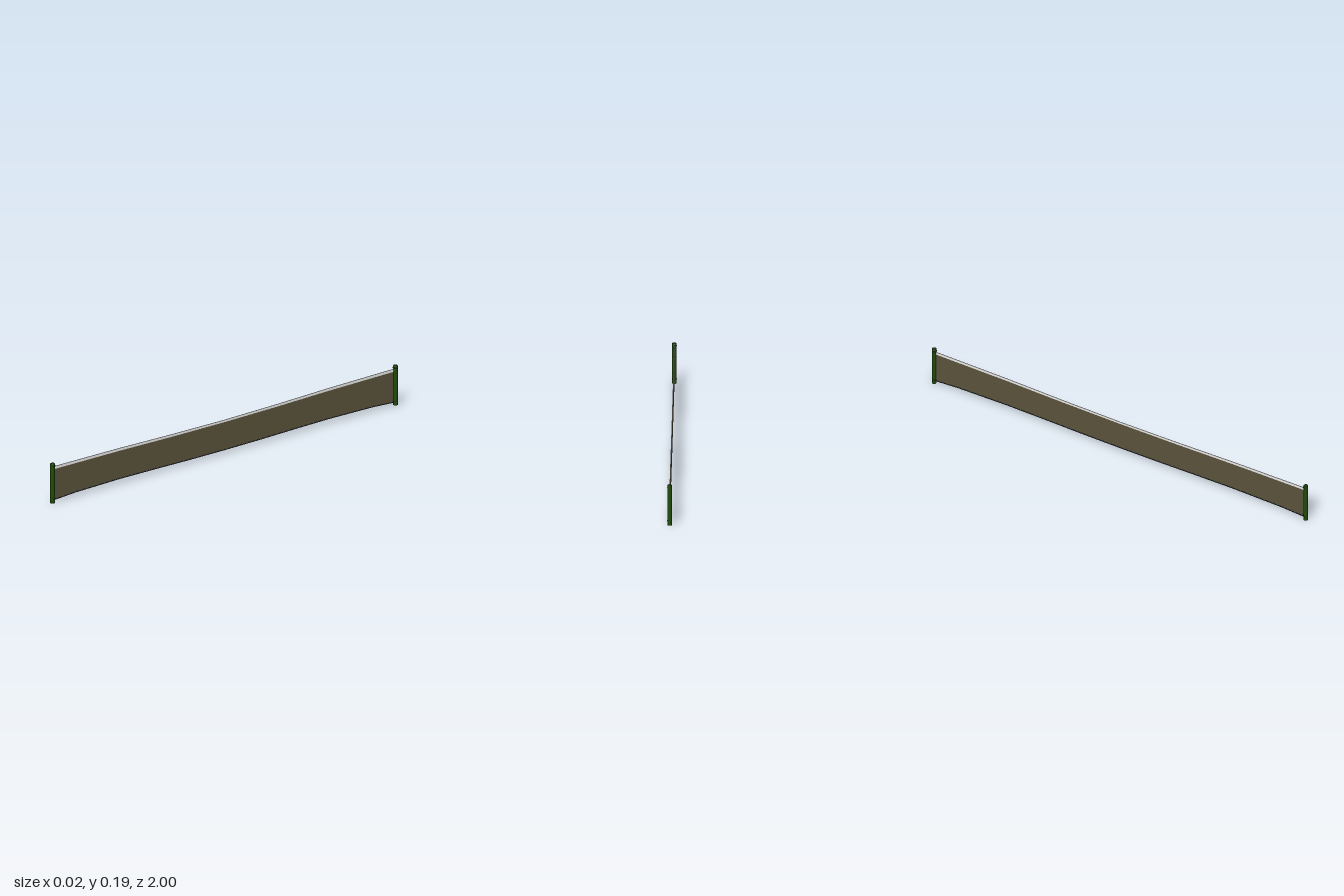
import * as THREE from 'three';

const END = 0.989; // distance of each post from the middle

// Half profiles from the middle to a post: [distance, height]
const bandTop = [[0, 0.164], [0.3, 0.167], [0.6, 0.173], [END, 0.176]];
const bandBottom = [[0, 0.153], [0.3, 0.155], [0.6, 0.16], [END, 0.162]];
const netBottom = [[0, 0.021], [0.2, 0.022], [0.4, 0.025], [0.6, 0.027], [0.86, 0.023], [END, 0.015]];
const cordBottom = netBottom.map(([d, y]) => [d, y - 0.004]);

// Mirror a half profile into a full line running from -END to +END
function mirrored(half) {
  const left = half.slice(1).reverse().map(([d, y]) => [-d, y]);
  return [...left, ...half].map(([d, y]) => new THREE.Vector2(d, y));
}

// Thin sheet between two profiles, lying in the plane x = 0
function sheet(name, top, bottom, thickness, material) {
  const shape = new THREE.Shape([...mirrored(bottom), ...mirrored(top).reverse()]);
  const geometry = new THREE.ExtrudeGeometry(shape, { depth: thickness, bevelEnabled: false });
  geometry.translate(0, 0, -thickness / 2).rotateY(-Math.PI / 2);
  const mesh = new THREE.Mesh(geometry, material);
  mesh.name = name;
  return mesh;
}

function flat(name, color) {
  const material = new THREE.MeshStandardMaterial({ color });
  material.name = name;
  return material;
}

export function createModel() {
  const netMaterial = flat('net olive', 0x59523a);
  const bandMaterial = flat('band white', 0xf2f2f2);
  const postMaterial = flat('post green', 0x1f490b);
  const cordMaterial = flat('cord dark slate', 0x2a2c38);

  const model = new THREE.Group();
  model.name = 'sportsNet';

  // Mesh, the white tape along its top and the cord along its bottom
  model.add(sheet('net', bandBottom, netBottom, 0.001, netMaterial));
  model.add(sheet('topBand', bandTop, bandBottom, 0.002, bandMaterial));
  model.add(sheet('bottomCord', netBottom, cordBottom, 0.003, cordMaterial));

  // Round post with a softly bevelled top
  const postGeometry = new THREE.LatheGeometry([
    [0, 0], [0.0108, 0], [0.0108, 0], [0.0108, 0.189], [0.0108, 0.189], [0.009, 0.192], [0.009, 0.192], [0, 0.192],
  ].map(([r, y]) => new THREE.Vector2(r, y)), 20);
  // Slim loop that ties the net to the post, showing on the inner side
  const loopGeometry = new THREE.TorusGeometry(0.0103, 0.0015, 8, 20).rotateX(Math.PI / 2);

  for (const side of [1, -1]) {
    const post = new THREE.Group();
    post.name = side > 0 ? 'frontPost' : 'backPost';
    const pole = new THREE.Mesh(postGeometry, postMaterial);
    pole.name = 'pole';
    post.add(pole);
    for (const [name, y] of [['topLoop', 0.18], ['bottomLoop', 0.02]]) {
      const loop = new THREE.Mesh(loopGeometry, cordMaterial);
      loop.name = name;
      loop.position.set(0, y, -side * 0.002);
      post.add(loop);
    }
    post.position.z = side * END;
    model.add(post);
  }
  return model;
}
